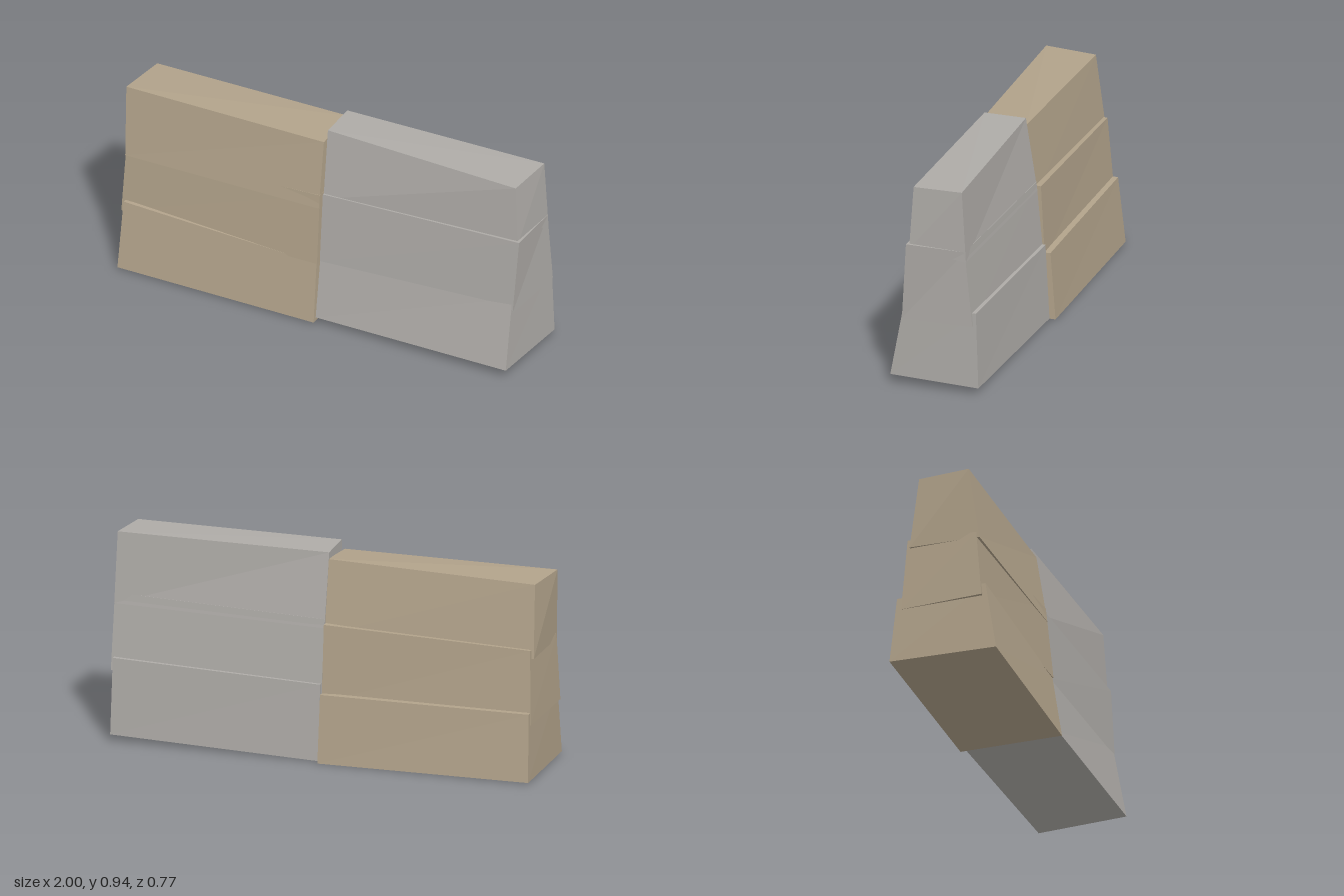
import * as THREE from 'three';

// One rough stone: a box whose corners are moved to the given positions.
// Each ring lists front-left, front-right, back-right, back-left as seen from the front.
function stone(name, material, bottom, top) {
  const box = new THREE.BoxGeometry(1, 1, 1);
  const pos = box.attributes.position;
  for (let i = 0; i < pos.count; i++) {
    const ring = pos.getY(i) > 0 ? top : bottom;
    const right = pos.getX(i) > 0;
    const corner = pos.getZ(i) > 0 ? (right ? 1 : 0) : (right ? 2 : 3);
    pos.setXYZ(i, ...ring[corner]);
  }
  const geometry = box.toNonIndexed();
  geometry.computeVertexNormals();
  const mesh = new THREE.Mesh(geometry, material);
  mesh.name = name;
  return mesh;
}

// A stack of slightly overlapping courses, each given as [bottom ring, top ring]
function stack(name, material, courses) {
  const group = new THREE.Group();
  group.name = name;
  const names = ['lowerStone', 'middleStone', 'upperStone'];
  courses.forEach(([bottom, top], i) => group.add(stone(names[i], material, bottom, top)));
  return group;
}

export function createModel() {
  const tan = new THREE.MeshStandardMaterial({ color: 0xb1a28a, flatShading: true });
  tan.name = 'tan stone';
  const gray = new THREE.MeshStandardMaterial({ color: 0xaeaba7, flatShading: true });
  gray.name = 'gray stone';

  const model = new THREE.Group();
  model.name = 'stoneWall';

  // Tan half, on the model's right
  model.add(stack('tanStack', tan, [
    [
      [[-0.91, 0.01, 0.385], [0.05, 0.01, 0.205], [-0.03, 0, -0.26], [-1.0, 0.005, -0.1]],
      [[-0.915, 0.328, 0.335], [0.035, 0.295, 0.165], [-0.03, 0.31, -0.235], [-0.985, 0.31, -0.07]],
    ],
    [
      [[-0.935, 0.27, 0.325], [0.04, 0.295, 0.168], [-0.025, 0.27, -0.21], [-0.985, 0.255, -0.05]],
      [[-0.93, 0.58, 0.297], [0.03, 0.635, 0.135], [-0.025, 0.62, -0.19], [-0.97, 0.59, -0.025]],
    ],
    [
      [[-0.925, 0.555, 0.31], [0.03, 0.57, 0.143], [-0.02, 0.57, -0.17], [-0.98, 0.55, -0.01]],
      [[-0.95, 0.885, 0.27], [0.02, 0.89, 0.093], [-0.01, 0.905, -0.125], [-0.965, 0.88, 0.03]],
    ],
  ]));

  // Gray half, on the model's left
  model.add(stack('grayStack', gray, [
    [
      [[0.05, 0.03, 0.19], [0.99, 0.042, 0.028], [0.94, 0.03, -0.385], [-0.02, 0.003, -0.235]],
      [[0.04, 0.35, 0.14], [0.978, 0.385, -0.034], [0.935, 0.38, -0.37], [-0.02, 0.35, -0.215]],
    ],
    [
      [[0.04, 0.3, 0.148], [0.985, 0.315, -0.027], [0.95, 0.32, -0.36], [-0.02, 0.3, -0.205]],
      [[0.035, 0.635, 0.12], [1.0, 0.675, -0.055], [0.95, 0.667, -0.322], [-0.02, 0.64, -0.17]],
    ],
    [
      [[0.035, 0.61, 0.115], [0.985, 0.65, -0.063], [0.95, 0.62, -0.328], [-0.02, 0.6, -0.175]],
      [[0.022, 0.94, 0.067], [0.965, 0.938, -0.075], [0.945, 0.945, -0.305], [-0.015, 0.935, -0.12]],
    ],
  ]));

  return model;
}
